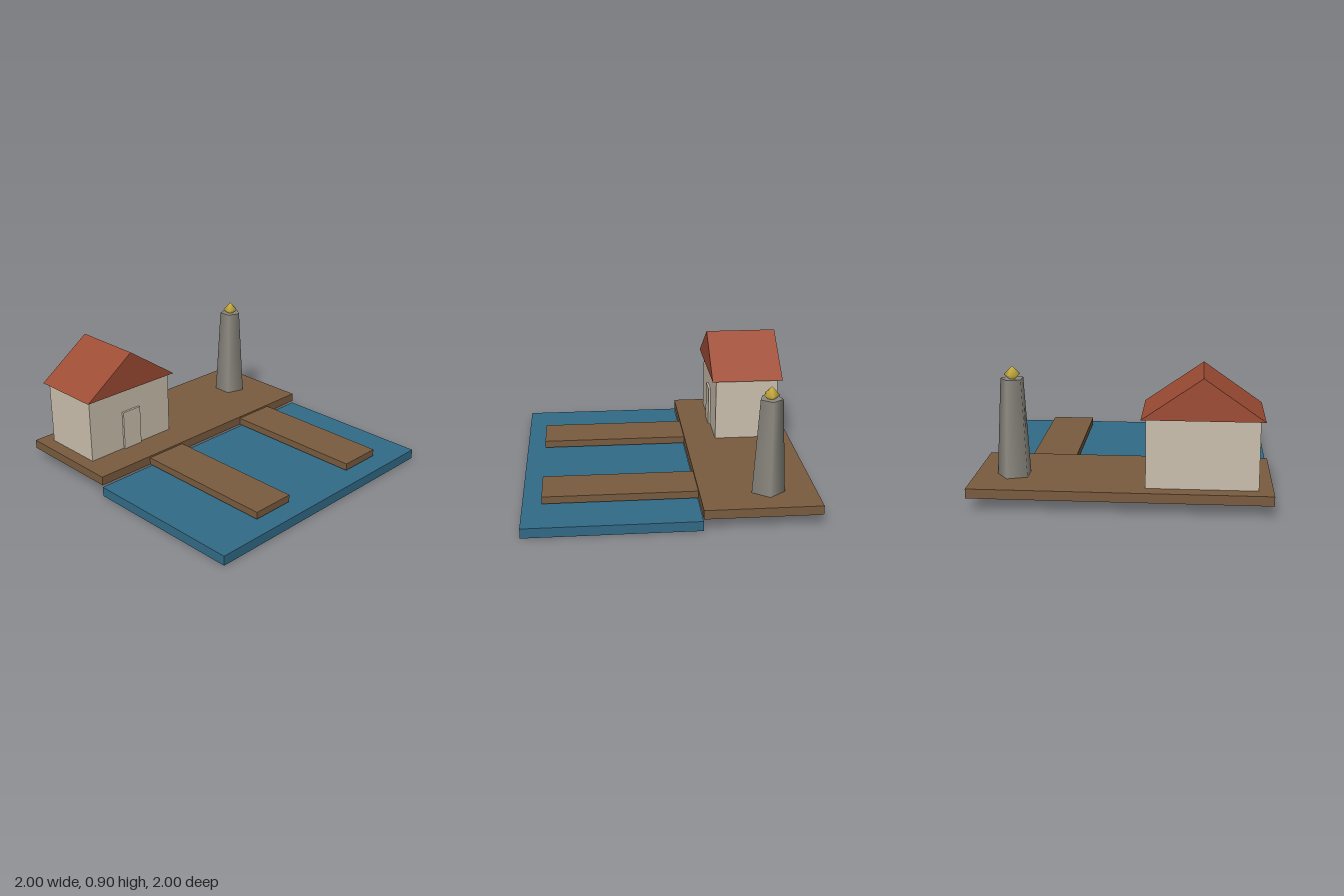
import * as THREE from 'three';

const material = (name, color) => {
  const m = new THREE.MeshStandardMaterial({ color });
  m.name = name;
  return m;
};

export function createModel() {
  const wood = material('wood brown', 0x7a5c3f);
  const water = material('water blue', 0x326b87);
  const plaster = material('plaster beige', 0xcbc0ae);
  const tile = material('roof red', 0x9e4c34);
  const stone = material('stone grey', 0x8c8980);
  const gold = material('lamp gold', 0xd6b944);

  const model = new THREE.Group();
  model.name = 'harbour';

  const add = (name, geometry, mat, parent = model) => {
    const mesh = new THREE.Mesh(geometry, mat);
    mesh.name = name;
    parent.add(mesh);
    return mesh;
  };
  // Box given by its extents along each axis
  const box = (name, mat, [x0, x1], [y0, y1], [z0, z1], parent) =>
    add(name, new THREE.BoxGeometry(x1 - x0, y1 - y0, z1 - z0), mat, parent)
      .position.set((x0 + x1) / 2, (y0 + y1) / 2, (z0 + z1) / 2);

  // Water basin and quay
  box('water', water, [-1, 1], [0, 0.07], [-0.2, 1]);
  box('quay', wood, [-1, 1], [0.085, 0.15], [-1, -0.2]);

  // Two piers
  for (const x of [-0.403, 0.532]) {
    box('pier', wood, [x - 0.159, x + 0.159], [0.085, 0.137], [-0.2, 0.865]);
  }

  // House with gabled roof
  const house = new THREE.Group();
  house.name = 'house';
  model.add(house);
  box('walls', plaster, [-0.904, -0.168], [0.15, 0.617], [-0.9, -0.433], house);
  box('door', plaster, [-0.615, -0.459], [0.15, 0.443], [-0.434, -0.417], house);
  const gable = new THREE.Shape([
    new THREE.Vector2(-0.398, 0),
    new THREE.Vector2(0.398, 0),
    new THREE.Vector2(0, 0.278),
  ]);
  add('roof', new THREE.ExtrudeGeometry(gable, { depth: 0.53, bevelEnabled: false }), tile, house)
    .position.set(-0.536, 0.617, -0.932);

  // Five-sided lighthouse, one corner pointing to +x
  const lighthouse = new THREE.Group();
  lighthouse.name = 'lighthouse';
  lighthouse.position.set(0.732, 0, -0.667);
  model.add(lighthouse);
  const tower = add('tower', new THREE.CylinderGeometry(0.08, 0.12, 0.667, 5), stone, lighthouse);
  tower.position.y = 0.4835;
  tower.rotation.y = Math.PI / 2;
  add('lamp', new THREE.SphereGeometry(0.056, 5, 2, Math.PI), gold, lighthouse).position.y = 0.845;

  return model;
}
